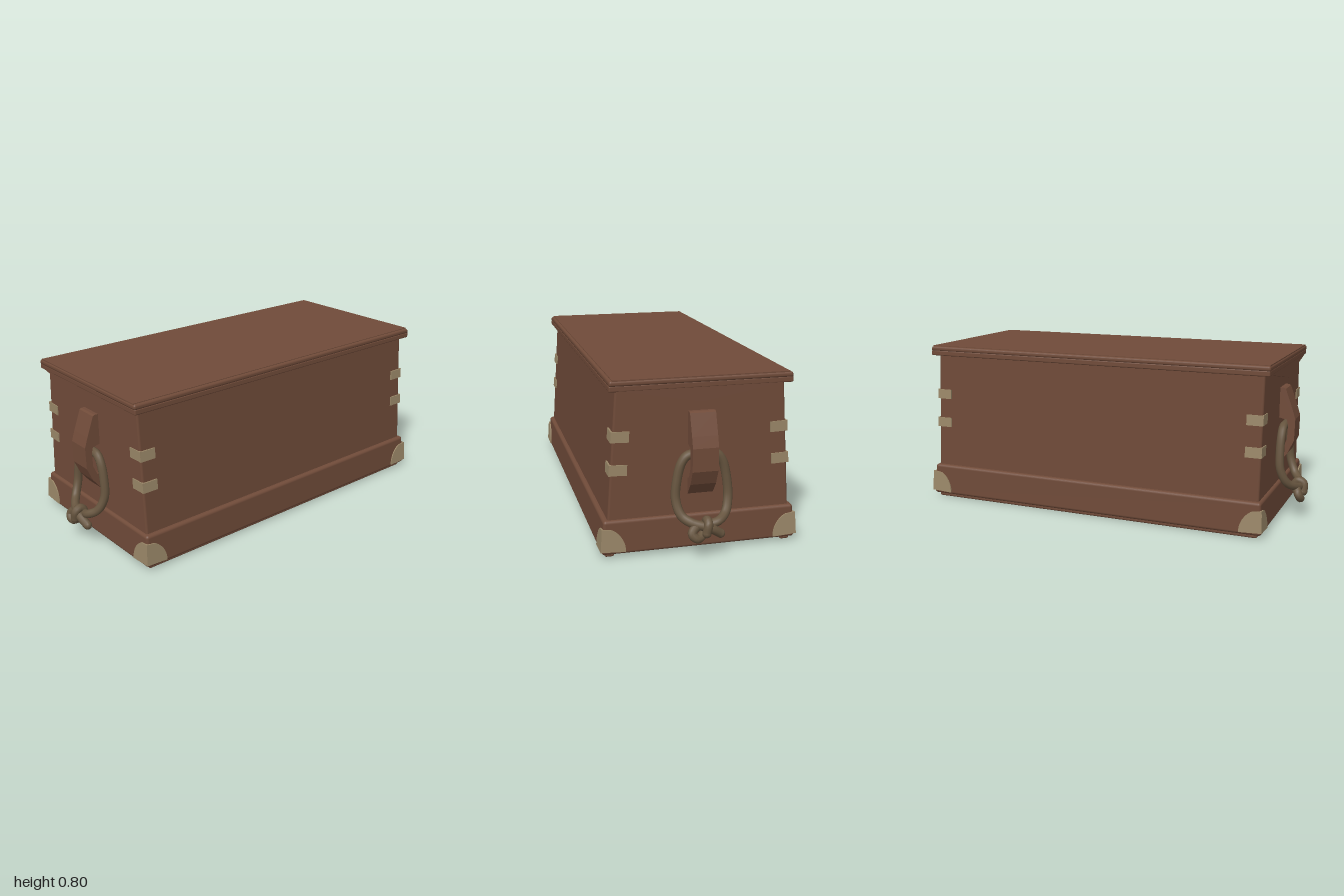
import * as THREE from 'three';
import { RoundedBoxGeometry } from 'three/addons/geometries/RoundedBoxGeometry.js';

const material = (name, color) => {
  const m = new THREE.MeshStandardMaterial({ color });
  m.name = name;
  return m;
};

export function createModel() {
  const wood = material('brown wood', 0x704b39);
  const brass = material('dull brass', 0x9a8768);
  const hemp = material('rope', 0x67553f);
  const model = new THREE.Group();
  model.name = 'chest';

  const add = (parent, name, geometry, mat, x = 0, y = 0, z = 0) => {
    const mesh = new THREE.Mesh(geometry, mat);
    mesh.name = name;
    mesh.position.set(x, y, z);
    parent.add(mesh);
    return mesh;
  };

  // Rounded box whose half width and half depth change from bottom to top
  const taperedBox = (x0, z0, x1, z1, y0, y1, r) => {
    const h = y1 - y0;
    const g = new RoundedBoxGeometry(2 * x0, h, 2 * z0, 3, r);
    const p = g.attributes.position;
    for (let i = 0; i < p.count; i++) {
      const t = p.getY(i) / h + 0.5;
      p.setX(i, p.getX(i) * (1 + t * (x1 / x0 - 1)));
      p.setZ(i, p.getZ(i) * (1 + t * (z1 / z0 - 1)));
    }
    return g.translate(0, (y0 + y1) / 2, 0);
  };

  // Case, plinth and lid
  add(model, 'body', taperedBox(0.418, 0.858, 0.376, 0.858, 0.14, 0.76, 0.01), wood);
  add(model, 'plinth', taperedBox(0.447, 0.88, 0.436, 0.872, 0.018, 0.172, 0.014), wood);
  add(model, 'lidLowerMoulding', taperedBox(0.408, 0.886, 0.408, 0.886, 0.745, 0.772, 0.006), wood);
  add(model, 'lidUpperMoulding', taperedBox(0.41, 0.89, 0.405, 0.886, 0.768, 0.792, 0.01), wood);
  add(model, 'lidTop', new THREE.BoxGeometry(0.785, 0.012, 1.766), wood, 0, 0.789, 0);
  for (const s of [-1, 1]) {
    add(model, 'runner', new RoundedBoxGeometry(0.042, 0.04, 1.715, 2, 0.008), wood, s * 0.408, 0.02, 0);
  }

  // Corner straps and corner caps, mirrored to the four corners
  const cap = new THREE.Shape();
  cap.moveTo(0, 0);
  cap.lineTo(0, 0.103);
  cap.lineTo(-0.045, 0.1);
  cap.bezierCurveTo(-0.08, 0.085, -0.11, 0.045, -0.11, 0);
  const capGeometry = new THREE.ExtrudeGeometry(cap, { depth: 0.009, bevelEnabled: false, curveSegments: 10 });
  const bodyHalf = (y) => 0.418 - 0.042 * (y - 0.14) / 0.62;
  for (const sx of [-1, 1]) for (const sz of [-1, 1]) {
    const corner = new THREE.Group();
    corner.name = 'cornerFittings';
    corner.scale.set(sx, 1, sz);
    model.add(corner);
    for (const y of [0.543, 0.396]) {
      const x = bodyHalf(y);
      add(corner, 'strapEnd', new THREE.BoxGeometry(0.08, 0.048, 0.009), brass, x - 0.033, y, 0.858)
        .rotation.z = 0.035;
      add(corner, 'strapSide', new THREE.BoxGeometry(0.009, 0.048, 0.078), brass, x + 0.003, y, 0.823)
        .rotation.z = 0.068;
    }
    const end = add(corner, 'capEnd', capGeometry, brass, 0.45, 0.035, 0.876);
    end.rotation.set(-0.05, 0, 0.06);
    const side = add(corner, 'capSide', capGeometry.clone().rotateY(-Math.PI / 2), brass, 0.452, 0.035, 0.885);
    side.rotation.set(-0.05, 0, 0.068);
  }

  // Shapes shared by both ends
  const valance = new THREE.Shape([[-0.38, 0.75], [0, 0.682], [0.38, 0.75]].map(([x, y]) => new THREE.Vector2(x, y)));
  const valanceGeometry = new THREE.ExtrudeGeometry(valance, { depth: 0.035, bevelEnabled: false });

  // Cleat side profile as (z, y), open behind for the rope
  const cleat = new THREE.Shape([
    [0.85, 0.265], [0.862, 0.265], [0.905, 0.32], [0.934, 0.385], [0.936, 0.49], [0.92, 0.54],
    [0.885, 0.635], [0.875, 0.64], [0.85, 0.64], [0.85, 0.495], [0.895, 0.485], [0.902, 0.46],
    [0.9, 0.39], [0.88, 0.345], [0.85, 0.335],
  ].map(([z, y]) => new THREE.Vector2(z, y)));
  const cleatGeometry = new THREE.ExtrudeGeometry(cleat, { depth: 0.116, bevelEnabled: false })
    .translate(0, 0, -0.058).rotateY(-Math.PI / 2);

  // Rope: tail, left side, top, right side, then wrapped into the knot
  const half = [[0.058, 0.158, 0.945], [0.1, 0.185, 0.915], [0.119, 0.25, 0.887], [0.112, 0.34, 0.88],
    [0.092, 0.415, 0.88], [0.065, 0.447, 0.88]];
  const path = [
    [0.066, 0.104, 0.955], [0.015, 0.138, 0.966],
    ...half.map(([x, y, z]) => [-x, y, z]),
    [0, 0.452, 0.88],
    ...half.slice().reverse(),
    [0.01, 0.145, 0.94], [-0.045, 0.143, 0.955], [-0.066, 0.118, 0.968], [-0.045, 0.097, 0.975],
    [-0.012, 0.11, 0.955], [0.004, 0.15, 0.935], [0.004, 0.172, 0.955], [0.004, 0.16, 0.978], [-0.004, 0.12, 0.98],
  ].map((p) => new THREE.Vector3(...p));
  const ropeCurve = new THREE.CatmullRomCurve3(path);
  const ropeGeometry = new THREE.TubeGeometry(ropeCurve, 160, 0.0205, 10);

  for (const angle of [0, Math.PI]) {
    const end = new THREE.Group();
    end.name = angle ? 'backHandle' : 'frontHandle';
    end.rotation.y = angle;
    model.add(end);
    add(end, 'lidValance', valanceGeometry, wood, 0, 0, 0.85);
    add(end, 'cleat', cleatGeometry, wood);
    add(end, 'ropeLoop', ropeGeometry, hemp);
    for (const p of [path[0], path[path.length - 1]]) {
      add(end, 'ropeEnd', new THREE.SphereGeometry(0.0205, 10, 8), hemp, p.x, p.y, p.z);
    }
  }
  return model;
}
